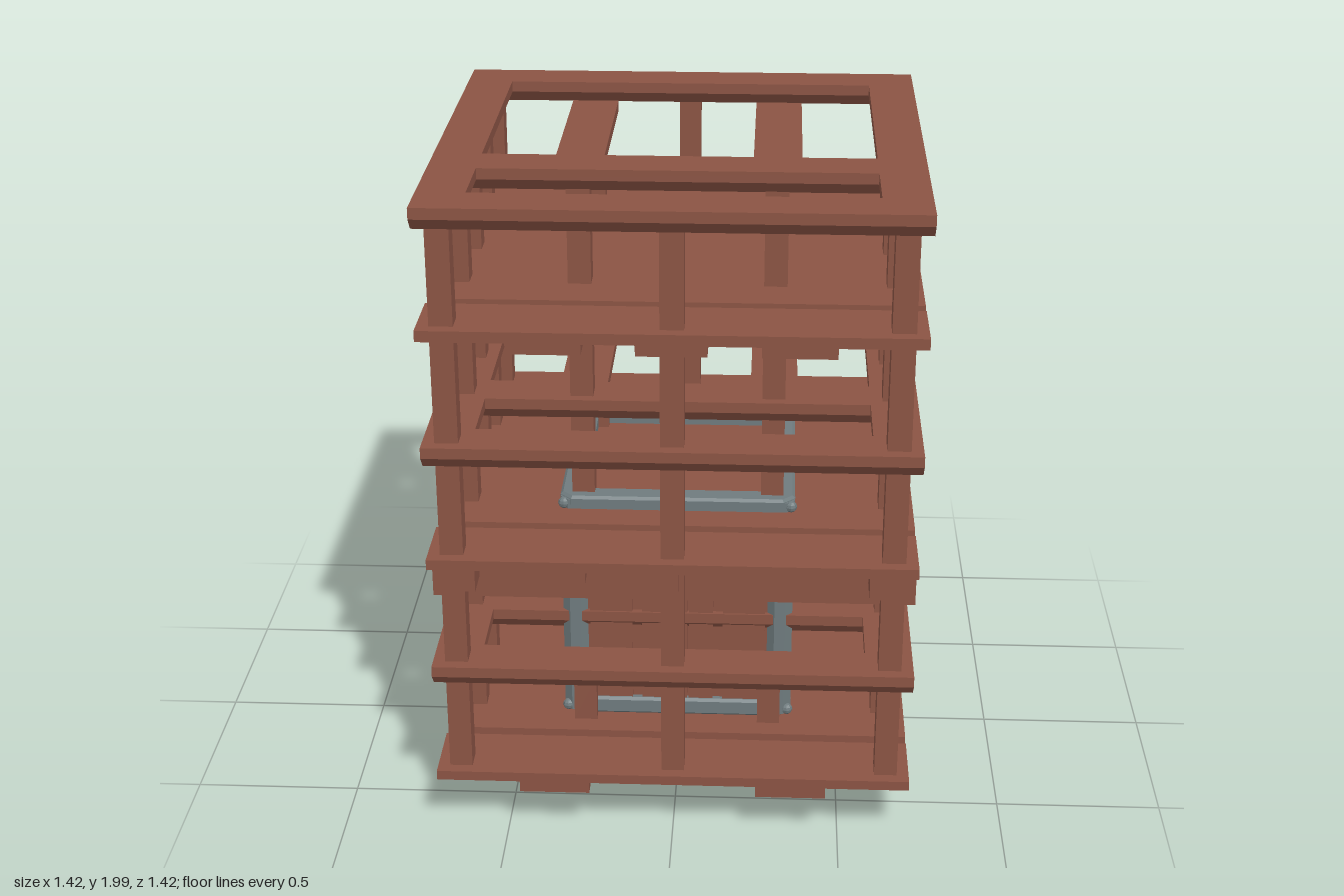
import * as THREE from 'three';

const wood = new THREE.MeshStandardMaterial({ color: 0x8b5444, flatShading: true });
const iron = new THREE.MeshStandardMaterial({ color: 0x6f7b7e, flatShading: true });

export function createModel() {
  const root = new THREE.Group();
  let target = root;

  const section = (name) => {
    target = new THREE.Group();
    target.name = name;
    root.add(target);
    return target;
  };
  const add = (name, geometry, material) => {
    const mesh = new THREE.Mesh(geometry, material);
    mesh.name = name;
    target.add(mesh);
    return mesh;
  };
  // Box given by its limits on each axis
  const box = (name, x0, x1, y0, y1, z0, z1, material = wood) => {
    const mesh = add(name, new THREE.BoxGeometry(x1 - x0, y1 - y0, z1 - z0), material);
    mesh.position.set((x0 + x1) / 2, (y0 + y1) / 2, (z0 + z1) / 2);
    return mesh;
  };
  // Beam with its two lower edges bevelled; c is the centre across, a..b the run
  const beam = (name, along, c, a, b, top, depth = 0.07) => {
    const shape = new THREE.Shape([
      [-0.07, 0], [-0.07, -0.033], [-0.037, -depth], [0.037, -depth], [0.07, -0.033], [0.07, 0],
    ].map(([x, y]) => new THREE.Vector2(x, y)));
    const mesh = add(name, new THREE.ExtrudeGeometry(shape, { depth: b - a, bevelEnabled: false }), wood);
    if (along === 'x') {
      mesh.rotation.y = Math.PI / 2;
      mesh.position.set(a, top, c);
    } else mesh.position.set(c, top, a);
  };
  // Sloped wedge block from a z,y outline, spanning x0..x1
  const wedge = (name, x0, x1, points) => {
    const shape = new THREE.Shape(points.map(([z, y]) => new THREE.Vector2(-z, y)));
    const mesh = add(name, new THREE.ExtrudeGeometry(shape, { depth: x1 - x0, bevelEnabled: false }), wood);
    mesh.rotation.y = Math.PI / 2;
    mesh.position.x = x0;
  };

  // Bevelled ring frames with inner beams
  for (const top of [2, 1.29, 0.58]) {
    section('ringFrame');
    for (const z of [-0.64, 0.64]) beam('crossBeam', 'x', z, -0.71, 0.71, top);
    beam('innerCrossBeam', 'x', 0.28, -0.6, 0.6, top);
    for (const s of [-1, 1]) {
      beam('sideBeam', 'z', s * 0.64, -0.6, 0.6, top, 0.065);
      beam('innerBeam', 'z', s * 0.285, -0.36, 0.25, top, 0.065);
    }
  }

  // Posts around the edge, and inner posts above the cabin
  section('posts');
  const post = (x, z, y0, y1) => box('post', x - 0.034, x + 0.034, y0, y1, z - 0.034, z + 0.034);
  for (const s of [-1, 1]) {
    for (const z of [-0.64, -0.285, 0, 0.285, 0.64]) post(s * 0.64, z, 0.2, 1.95);
    post(0, s * 0.64, 0.2, 1.95);
    for (const z of [-0.285, 0.285]) post(s * 0.285, z, 0.92, 1.95);
  }

  // Plank floors, each split by two slits, over joists
  const floors = [[0.22, 0.19, 0.155], [0.935, 0.903, 0.868], [1.645, 1.612, 1.58]];
  for (const [top, mid, low] of floors) {
    section('floor');
    box('frontPlank', -0.71, 0.71, mid, top, 0.495, 0.71);
    box('middlePlank', -0.71, 0.71, mid, top, -0.463, 0.457);
    box('backPlank', -0.71, 0.71, mid, top, -0.71, -0.5);
    for (const s of [-1, 1]) {
      const c = s * 0.355;
      box('joist', c - 0.105, c + 0.105, low, mid, -0.71, 0.71);
    }
  }
  section('floorSupports');
  box('upperCentreJoist', -0.1, 0.1, 1.58, 1.612, -0.71, 0.71);
  for (const x of [-0.588, 0, 0.588]) box('middleJoist', x - 0.018, x + 0.018, 0.835, 0.903, -0.71, 0.71);
  for (const z of [-0.588, -0.22, 0, 0.22, 0.588]) box('crossJoist', -0.71, 0.71, 0.765, 0.866, z - 0.018, z + 0.018);

  // Iron-edged box: corner posts, top and bottom rails, ribbed wooden walls
  const cage = (name, h, y0, y1, t, ribs) => {
    section(name);
    const rail = (y) => {
      const c = 0.03, o = h;
      const outline = (r, k) => [
        [-r + k, -r], [r - k, -r], [r, -r + k], [r, r - k], [r - k, r], [-r + k, r], [-r, r - k], [-r, -r + k],
      ].map(([a, b]) => new THREE.Vector2(a, b));
      const shape = new THREE.Shape(outline(o - 0.008, c));
      shape.holes.push(new THREE.Path(outline(o - t, 0.012)));
      const mesh = add('rail', new THREE.ExtrudeGeometry(shape, {
        depth: t * 0.65, bevelThickness: 0.008, bevelSize: 0.008, bevelSegments: 1,
      }), iron);
      mesh.rotation.x = -Math.PI / 2;
      mesh.position.y = y + 0.008;
    };
    rail(y0);
    rail(y1 - t * 0.65 - 0.016);
    const w = h - 0.025;
    for (const sx of [-1, 1]) for (const sz of [-1, 1]) {
      const p = new THREE.CylinderGeometry(t * 0.68, t * 0.68, y1 - y0 - 0.02, 8);
      p.rotateY(Math.PI / 8);
      add('cornerPost', p, iron).position.set(sx * (h - t * 0.65), (y0 + y1) / 2, sz * (h - t * 0.65));
      for (const y of [y0 + t * 0.4, y1 - t * 0.4])
        add('cornerRivet', new THREE.SphereGeometry(0.018, 8, 6), iron)
          .position.set(sx * (h - 0.012), y, sz * (h - 0.012));
    }
    for (const s of [-1, 1]) {
      box('frontWall', -w, w, y0 + 0.02, y1 - 0.05, s * w - 0.01, s * w + 0.002);
      box('sideWall', s * w - 0.01, s * w + 0.002, y0 + 0.02, y1 - 0.05, -w, w);
      for (const r of ribs) {
        box('wallBoard', r[0], r[1], y0 + 0.03, y1 - 0.06, s * w - 0.012, s * w + 0.014);
        box('wallBoard', s * w - 0.012, s * w + 0.014, y0 + 0.03, y1 - 0.06, r[0], r[1]);
      }
    }
    box('base', -w, w, y0 + 0.015, y0 + 0.035, -w, w);
  };
  cage('cabin', 0.355, 0.22, 0.975, 0.062, [[-0.27, -0.14], [-0.11, -0.035], [-0.03, 0.03], [0.035, 0.11], [0.14, 0.27]]);
  // Small boards and wedge braces on the cabin walls
  for (const s of [-1, 1]) {
    for (const [z0, z1, y] of [[-0.175, -0.03, 0.62], [0.035, 0.14, 0.48], [0.18, 0.255, 0.335]])
      box('wallStep', s * 0.35 - 0.02, s * 0.35 + 0.008, y, y + 0.03, z0, z1);
    const c = s * 0.285;
    wedge('frontBrace', c - 0.035, c + 0.035, [[0.34, 0.22], [0.34, 0.4], [0.355, 0.4], [0.392, 0.37], [0.392, 0.22]]);
    wedge('backBrace', c - 0.035, c + 0.035, [[-0.34, 0.86], [-0.39, 0.86], [-0.39, 0.765], [-0.355, 0.735], [-0.34, 0.735]]);
  }
  cage('lowerBucket', 0.178, 0.012, 0.21, 0.05, [[-0.115, -0.065], [-0.05, 0.05], [0.065, 0.115]]);

  // Hatch lying on the floor behind the cabin
  section('hatch');
  box('hatchPlate', -0.25, 0.25, 0.222, 0.24, -0.66, -0.37, iron);
  for (const s of [-1, 1]) {
    box('hatchSide', s * 0.265 - 0.015, s * 0.265 + 0.015, 0.22, 0.252, -0.69, -0.36);
    box('hatchBatten', s * 0.12 - 0.01, s * 0.12 + 0.01, 0.24, 0.25, -0.66, -0.37, iron);
  }
  box('hatchBackEdge', -0.28, 0.28, 0.22, 0.25, -0.69, -0.66);
  box('hatchFrontEdge', -0.28, 0.28, 0.22, 0.25, -0.38, -0.355);
  box('hatchStrip', -0.018, 0.018, 0.24, 0.262, -0.66, -0.37);
  const ring = add('hatchRing', new THREE.TorusGeometry(0.07, 0.012, 6, 20), wood);
  ring.rotation.x = Math.PI / 2;
  ring.position.set(0, 0.27, -0.48);
  box('ringClasp', -0.035, 0.035, 0.24, 0.288, -0.57, -0.535);

  return root;
}
